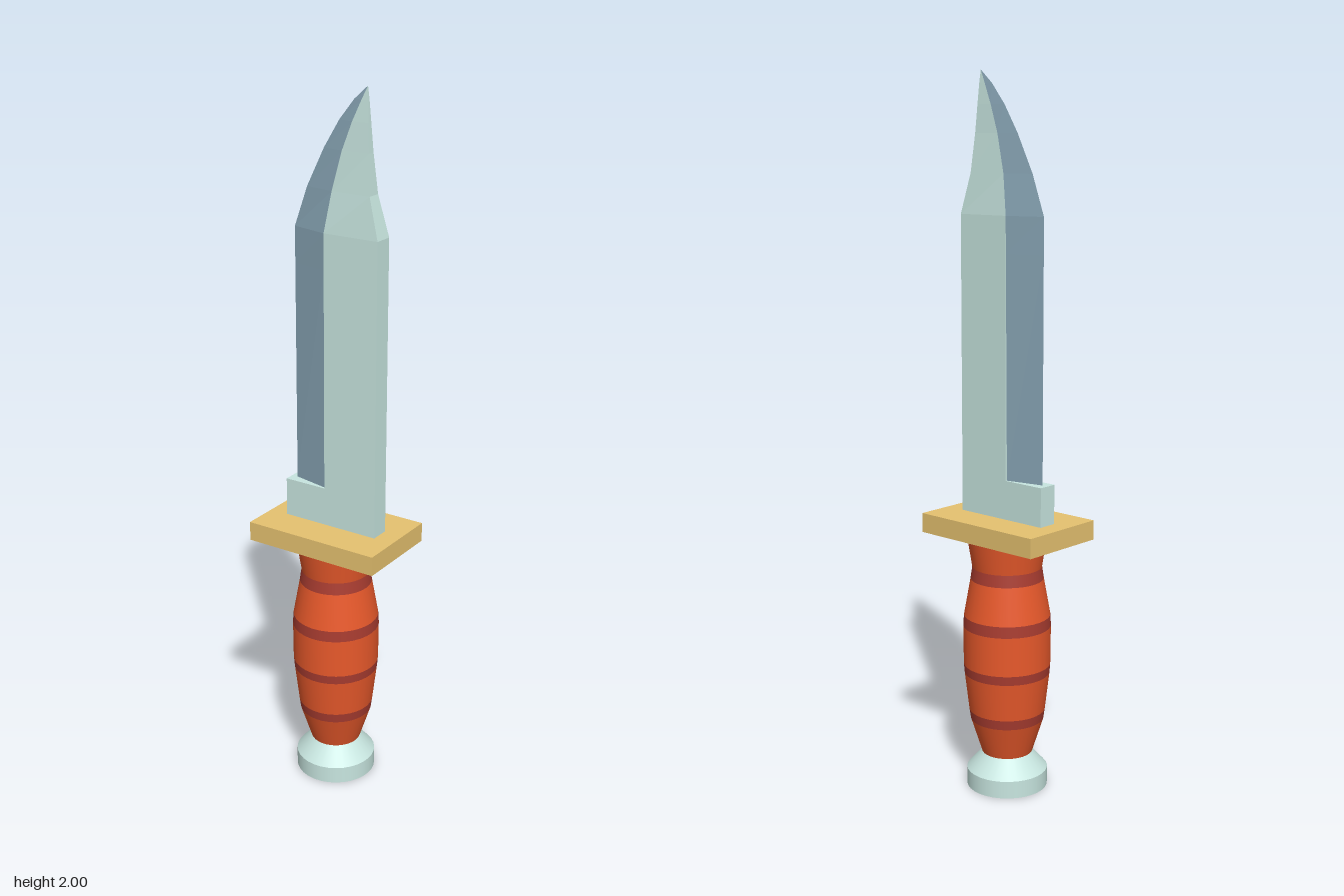
import * as THREE from 'three';

const mat = (color, flatShading = false) => new THREE.MeshStandardMaterial({ color, flatShading });
const steel = mat(0xc8e6e0, true);
const edgeSteel = mat(0x88a5b5, true);
const brass = mat(0xe6c270, true);
const leather = mat(0xe8592b);
const darkLeather = mat(0xa83c30);

function part(name, geometry, material, x = 0, y = 0, z = 0) {
  const mesh = new THREE.Mesh(geometry, material);
  mesh.name = name;
  mesh.position.set(x, y, z);
  return mesh;
}

// Joins rings of corners (counter-clockwise seen from above) and closes the bottom.
function loft(rings) {
  const n = rings[0].length;
  const index = [];
  for (let r = 0; r < rings.length - 1; r++) {
    for (let i = 0; i < n; i++) {
      const a = r * n + i, b = r * n + (i + 1) % n;
      index.push(a, b, b + n, a, b + n, a + n);
    }
  }
  for (let i = 1; i < n - 1; i++) index.push(0, i + 1, i);
  const g = new THREE.BufferGeometry();
  g.setAttribute('position', new THREE.Float32BufferAttribute(rings.flat(2), 3));
  g.setIndex(index);
  const flat = g.toNonIndexed();
  flat.computeVertexNormals();
  return flat;
}

// Lathe made of separate straight bands so that the rims stay crisp.
function turned(points) {
  return new THREE.LatheGeometry(points.map(([r, y]) => new THREE.Vector2(r, y)), 32);
}

// Blade stations: height, cutting edge x, ridge x, spine x, half thickness at ridge and spine
const tip = [
  [1.62, -0.13, -0.02, 0.145, 0.028, 0.028],
  [1.73, -0.09, -0.002, 0.115, 0.017, 0.02],
  [1.835, -0.037, 0.025, 0.106, 0.011, 0.011],
  [1.91, 0.01, 0.053, 0.101, 0.007, 0.007],
  [1.965, 0.055, 0.078, 0.098, 0.003, 0.003],
  [2.0, 0.095, 0.095, 0.095, 0, 0],
];

function createBlade() {
  const blade = new THREE.Group();
  blade.name = 'blade';

  // Flat back half, running up to the point
  const body = [[0.79, 0, -0.02, 0.145, 0.028, 0.028], ...tip];
  blade.add(part('bladeBody', loft(body.map(([y, , ridge, spine, h, s]) => [
    [ridge, y, h], [spine, y, s], [spine, y, -s], [ridge, y, -h],
  ])), steel));

  // Ground edge, slightly recessed from the flat near the guard
  const edge = [
    [0.9, -0.13, -0.02, 0, 0.023],
    [1.52, -0.13, -0.02, 0, 0.027],
    ...tip,
  ];
  blade.add(part('cuttingEdge', loft(edge.map(([y, x, ridge, , h]) => [
    [x, y, 0], [ridge, y, h], [ridge, y, -h],
  ])), edgeSteel));

  // Unsharpened block above the guard
  blade.add(part('bladeShoulder', new THREE.BoxGeometry(0.128, 0.11, 0.056), steel, -0.084, 0.845));
  return blade;
}

function createHandle() {
  const handle = new THREE.Group();
  handle.name = 'handle';
  const profile = [
    [0.072, 0.1], [0.104, 0.2], [0.108, 0.228], [0.121, 0.338], [0.123, 0.364],
    [0.124, 0.476], [0.122, 0.508], [0.103, 0.614], [0.098, 0.648], [0.112, 0.735],
  ];
  // Grip sections alternate with dark rings
  for (let i = 0; i < profile.length - 1; i++) {
    const ring = i % 2 === 1;
    handle.add(part(ring ? 'gripRing' : 'gripSection', turned([profile[i], profile[i + 1]]),
      ring ? darkLeather : leather));
  }
  return handle;
}

function createPommel() {
  const pommel = new THREE.Group();
  pommel.name = 'pommel';
  const smoothSteel = mat(0xc8e6e0);
  pommel.add(part('pommelBase', new THREE.CylinderGeometry(0.115, 0.115, 0.05, 32), smoothSteel, 0, 0.025));
  pommel.add(part('pommelCollar', new THREE.CylinderGeometry(0.07, 0.115, 0.05, 32), smoothSteel, 0, 0.075));
  return pommel;
}

export function createModel() {
  const model = new THREE.Group();
  model.name = 'knife';
  model.add(createBlade());
  model.add(part('guard', new THREE.BoxGeometry(0.406, 0.055, 0.262), brass, 0, 0.7625));
  model.add(createHandle());
  model.add(createPommel());
  return model;
}
